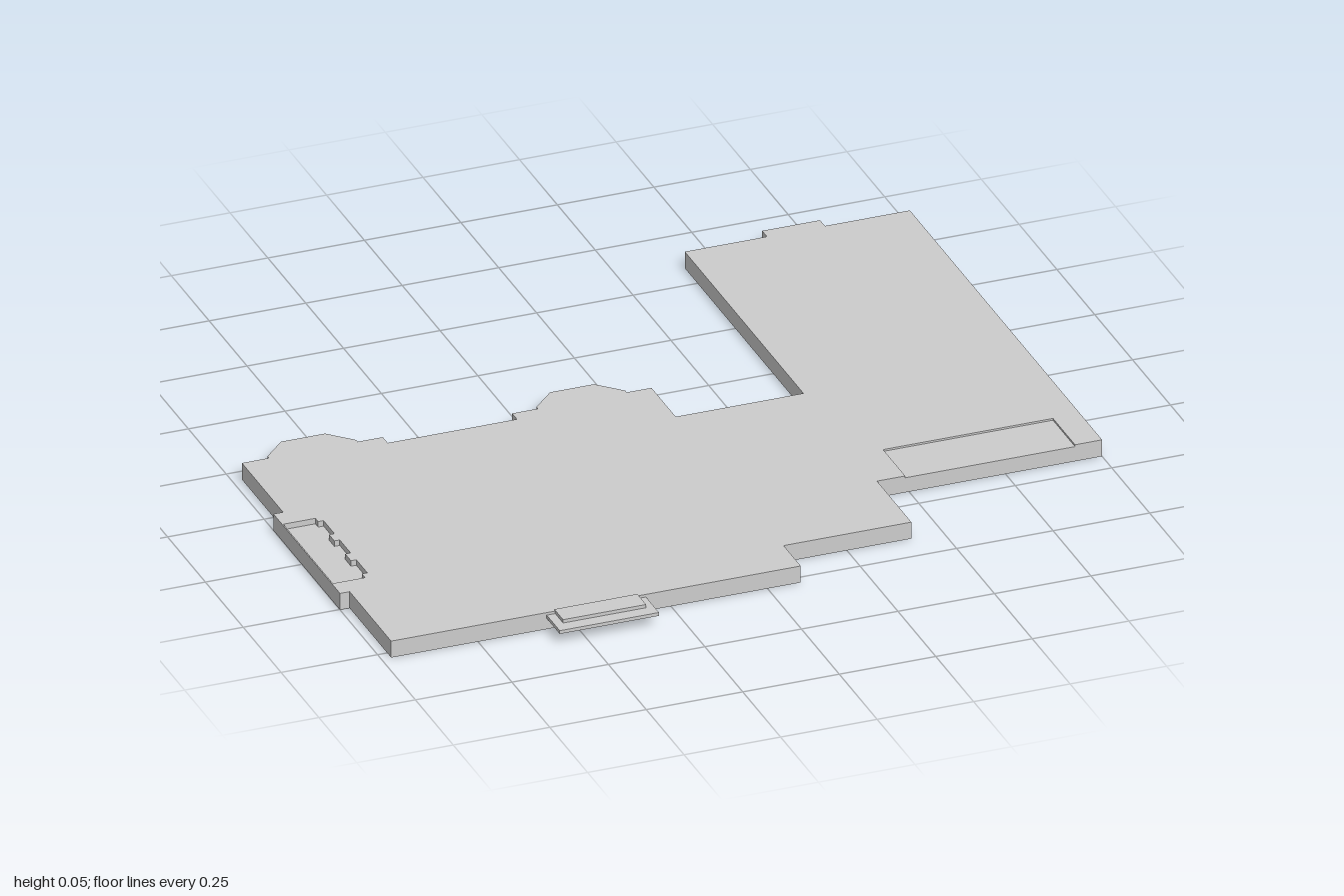
import * as THREE from 'three';

// Plan coordinates are [x, z]
const toPoints = (list) => list.map(([x, z]) => new THREE.Vector2(x, z));

// Bay window bulge with chamfered corners, centred on x
const bay = (x) => [
  [x - 0.115, -0.21], [x - 0.115, -0.22], [x - 0.057, -0.278],
  [x + 0.057, -0.278], [x + 0.115, -0.22], [x + 0.115, -0.21],
];

// Shallow porch notch in the front edge of the wing
const porchNotch = [[0.93, 0.436], [0.93, 0.29], [0.49, 0.29], [0.49, 0.436]];

const outline = (notch) => [
  [-0.975, -0.21], ...bay(-0.79), [-0.61, -0.21], [-0.61, -0.178],
  [-0.275, -0.178], [-0.275, -0.21], ...bay(-0.093), [0.086, -0.21],
  [0.086, -0.05], [0.417, -0.05], [0.417, -0.834],
  [0.63, -0.834], [0.63, -0.866], [0.78, -0.866], [0.78, -0.834],
  [1, -0.834], [1, 0.436], ...(notch ? porchNotch : []),
  [0.417, 0.436], [0.417, 0.663], [0.086, 0.663], [0.086, 0.776],
  [-0.975, 0.776], [-0.975, 0.502], [-1, 0.502], [-1, 0.062], [-0.975, 0.062],
];

// Hearth recess with a toothed inner edge
function hearthHole() {
  const points = [[-0.997, 0.12], [-0.914, 0.12]];
  for (const z of [0.138, 0.245, 0.355]) {
    points.push([-0.914, z], [-0.9, z], [-0.9, z + 0.072], [-0.914, z + 0.072]);
  }
  points.push([-0.914, 0.448], [-0.997, 0.448]);
  return new THREE.Path(toPoints(points));
}

export function createModel() {
  const group = new THREE.Group();
  const grey = new THREE.MeshStandardMaterial({ color: 0xcccccc });
  grey.name = 'light grey';

  const add = (name, geometry) => {
    const mesh = new THREE.Mesh(geometry, grey);
    mesh.name = name;
    group.add(mesh);
  };

  // Floor slab in layers, so that the recesses have floors
  const layer = (name, bottom, top, hearth, notch) => {
    const shape = new THREE.Shape(toPoints(outline(notch)));
    if (hearth) shape.holes.push(hearthHole());
    const geometry = new THREE.ExtrudeGeometry(shape, { depth: top - bottom, bevelEnabled: false });
    add(name, geometry.rotateX(Math.PI / 2).translate(0, top, 0));
  };
  layer('slabBase', 0, 0.03, false, false);
  layer('slabMiddle', 0.03, 0.04, true, false);
  layer('slabTop', 0.04, 0.045, true, true);

  // Two thin front doorsteps
  const step = (name, x0, x1, y0, y1, z1) => {
    const z0 = 0.77;
    const geometry = new THREE.BoxGeometry(x1 - x0, y1 - y0, z1 - z0);
    add(name, geometry.translate((x0 + x1) / 2, (y0 + y1) / 2, (z0 + z1) / 2));
  };
  step('lowerDoorstep', -0.572, -0.315, 0.029, 0.038, 0.862);
  step('upperDoorstep', -0.55, -0.335, 0.038, 0.047, 0.828);

  return group;
}
